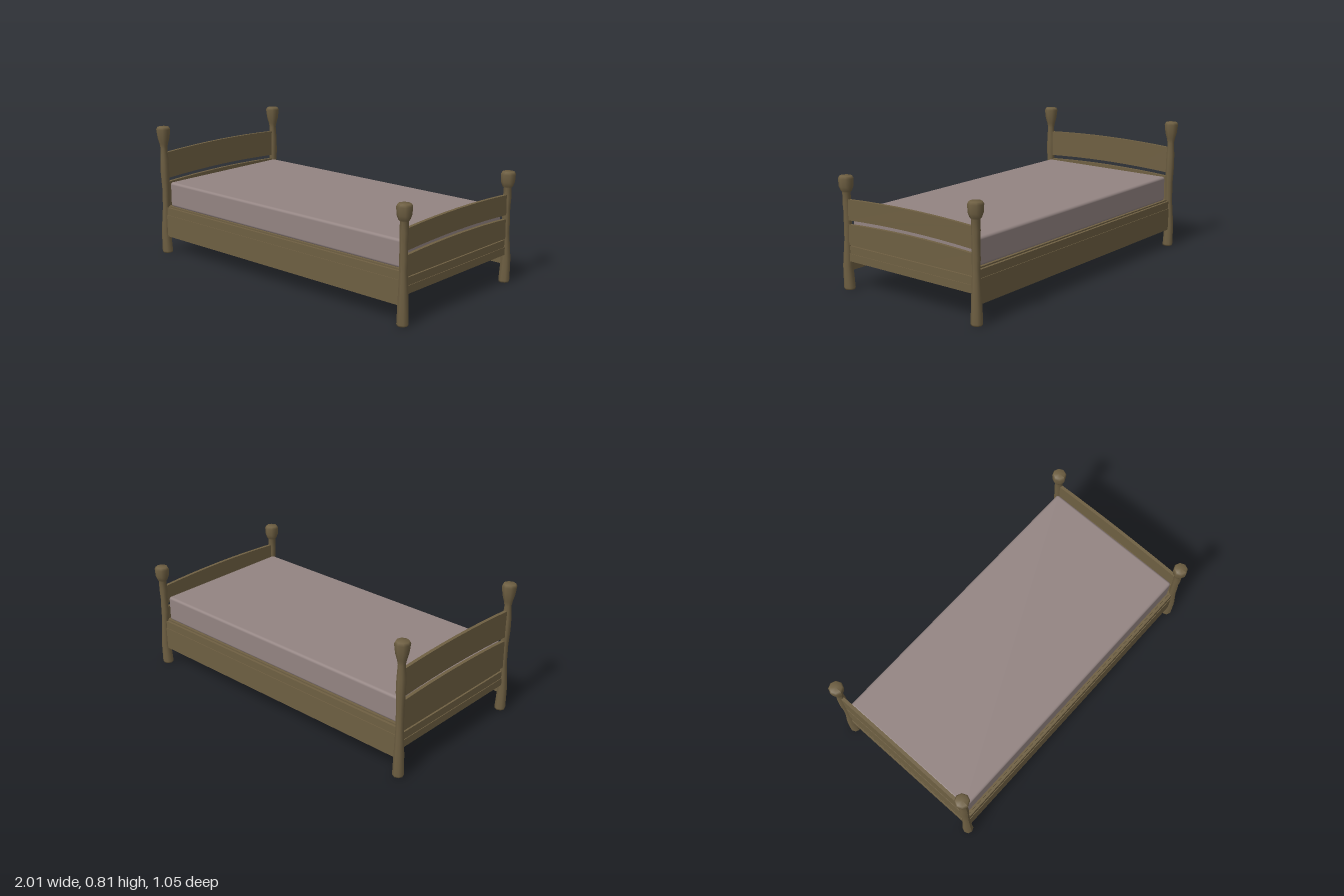
import * as THREE from 'three';
import { RoundedBoxGeometry } from 'three/addons/geometries/RoundedBoxGeometry.js';

const wood = new THREE.MeshStandardMaterial({ color: 0x6e5f42 });
wood.name = 'wood';
const fabric = new THREE.MeshStandardMaterial({ color: 0x938482 });
fabric.name = 'mattressFabric';

// Post outlines as [radius, height]
const headProfile = [[0, 0], [0.031, 0], [0.033, 0.01], [0.029, 0.14], [0.022, 0.3], [0.023, 0.42],
  [0.027, 0.52], [0.026, 0.6], [0.021, 0.68], [0.027, 0.71], [0.037, 0.745], [0.044, 0.8], [0.036, 0.815], [0, 0.815]];
const footProfile = [[0, 0], [0.031, 0], [0.033, 0.01], [0.029, 0.14], [0.022, 0.3], [0.024, 0.36],
  [0.022, 0.45], [0.025, 0.51], [0.023, 0.57], [0.032, 0.58], [0.041, 0.605], [0.044, 0.65], [0.036, 0.665], [0, 0.665]];

export function createModel() {
  const bed = new THREE.Group();
  bed.name = 'bed';

  function add(name, geometry, material, x = 0, y = 0, z = 0, parent = bed) {
    const mesh = new THREE.Mesh(geometry, material);
    mesh.name = name;
    mesh.position.set(x, y, z);
    parent.add(mesh);
    return mesh;
  }

  // Hand-carved post: a turned shape whose axis sways a little along its height
  function post(name, profile, x, z) {
    const g = new THREE.LatheGeometry(profile.map(p => new THREE.Vector2(p[0], p[1])), 8);
    const p = g.attributes.position;
    for (let i = 0; i < p.count; i++) {
      const y = p.getY(i);
      const sway = 0.005 * Math.sin(y * 11) * Math.max(0, 1 - y / 0.62);
      p.setX(i, p.getX(i) + sway * Math.sign(x));
      p.setZ(i, p.getZ(i) + sway * Math.sign(z));
    }
    g.computeVertexNormals();
    add(name, g, wood, x, 0, z);
  }

  // Plank across the bed's width, arched along its top and bottom edges
  function archedPlank(name, x, bottom, top, rise, parent) {
    const w = 0.468, t = 0.02;
    const s = new THREE.Shape();
    s.moveTo(-w, bottom);
    s.quadraticCurveTo(0, bottom + rise * 2, w, bottom);
    s.lineTo(w, top);
    s.quadraticCurveTo(0, top + rise * 2, -w, top);
    s.closePath();
    const g = new THREE.ExtrudeGeometry(s, { depth: t, bevelEnabled: false, curveSegments: 8 });
    g.translate(0, 0, -t / 2);
    g.rotateY(Math.PI / 2);
    add(name, g, wood, x, 0, 0, parent);
  }

  // Head end is at -x, foot end at +x
  const ends = [
    { name: 'head', x: -0.957, profile: headProfile, planks: [[0.485, 0.65], [0.285, 0.46]] },
    { name: 'foot', x: 0.961, profile: footProfile, planks: [[0.41, 0.53], [0.265, 0.385]] },
  ];
  for (const end of ends) {
    for (const side of [-1, 1]) {
      post(end.name + (side > 0 ? 'PostFront' : 'PostBack'), end.profile, end.x, side * 0.48);
    }
    const board = new THREE.Group();
    board.name = end.name + 'board';
    bed.add(board);
    end.planks.forEach(([b, t], i) =>
      archedPlank(end.name + (i ? 'LowerPlank' : 'UpperPlank'), end.x, b, t, 0.015, board));
    // Straight bottom rail with a set-back strip above it
    add(end.name + 'Rail', new THREE.BoxGeometry(0.022, 0.045, 0.93), wood, end.x, 0.1925, 0, board);
    add(end.name + 'RailStrip', new THREE.BoxGeometry(0.014, 0.045, 0.93), wood, end.x, 0.2375, 0, board);
  }

  // Long side rails with a set-back strip above each
  for (const side of [-1, 1]) {
    add('sideRail', new THREE.BoxGeometry(1.89, 0.14, 0.024), wood, 0.003, 0.18, side * 0.48);
    add('sideRailStrip', new THREE.BoxGeometry(1.89, 0.048, 0.016), wood, 0.003, 0.273, side * 0.48);
  }

  // Base panel under the mattress
  add('basePanel', new THREE.BoxGeometry(1.91, 0.12, 0.945), wood, 0.002, 0.245, 0);

  // Mattress with softened edges
  add('mattress', new RoundedBoxGeometry(1.87, 0.158, 0.925, 2, 0.016), fabric, 0.002, 0.381, 0);

  return bed;
}
